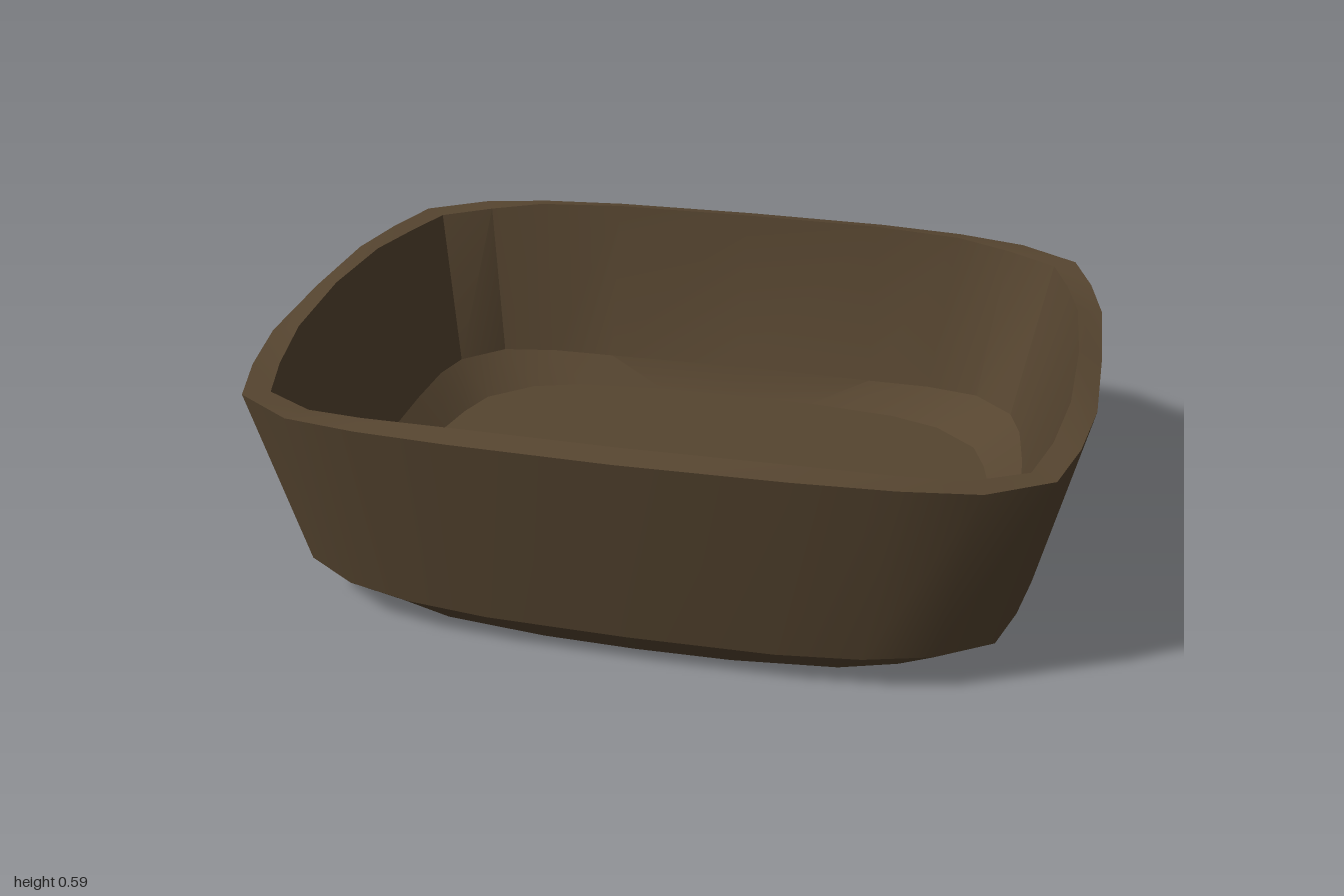
import * as THREE from 'three';
import { toCreasedNormals } from 'three/addons/utils/BufferGeometryUtils.js';

// One quarter of each outline, from the middle of the front to the middle of the left side: [x, z]
const squarish = [[0, 0.76], [0.38, 0.752], [0.6, 0.735], [0.775, 0.702], [0.92, 0.612], [0.965, 0.46], [0.995, 0.28], [1, 0]];
const rimInner = [[0, 0.706], [0.37, 0.7], [0.6, 0.685], [0.74, 0.65], [0.865, 0.578], [0.905, 0.44], [0.935, 0.26], [0.945, 0]];
const basinLow = [[0, 0.625], [0.38, 0.617], [0.55, 0.603], [0.69, 0.555], [0.79, 0.455], [0.82, 0.36], [0.836, 0.22], [0.842, 0]];
const floorLine = [[0, 0.578], [0.22, 0.573], [0.46, 0.548], [0.59, 0.505], [0.7, 0.41], [0.735, 0.31], [0.757, 0.2], [0.76, 0]];

// Mirrors a quarter outline into a full ring; corner points take cornerY
function ring(quarter, y, cornerY = y, sx = 1, sz = 1) {
  const lift = [0, 0, 0.3, 0.85, 1, 0.85, 0.3, 0];
  const q = quarter.map(([x, z], i) => [x * sx, y + (cornerY - y) * lift[i], z * sz]);
  const mirror = (list, mx, mz) => list.map(([x, h, z]) => [x * mx, h, z * mz]);
  const rev = [...q].reverse();
  return [
    ...q,
    ...mirror(rev, 1, -1).slice(1),
    ...mirror(q, -1, -1).slice(1),
    ...mirror(rev, -1, 1).slice(1, -1),
  ];
}

// Skins successive rings; a single-point ring closes the surface
function loft(name, rings, material) {
  const pos = [];
  const n = Math.max(...rings.map((r) => r.length));
  const at = (r, i) => r[i % r.length];
  for (let k = 0; k < rings.length - 1; k++) {
    const lo = rings[k], hi = rings[k + 1];
    for (let i = 0; i < n; i++) {
      const a = at(lo, i), b = at(lo, i + 1), c = at(hi, i + 1), d = at(hi, i);
      if (lo.length > 1) pos.push(...a, ...b, ...c);
      if (hi.length > 1) pos.push(...a, ...c, ...d);
    }
  }
  const geo = new THREE.BufferGeometry();
  geo.setAttribute('position', new THREE.Float32BufferAttribute(pos, 3));
  const mesh = new THREE.Mesh(toCreasedNormals(geo, 0.42), material);
  mesh.name = name;
  return mesh;
}

export function createModel() {
  const group = new THREE.Group();
  group.name = 'basin';
  const brown = new THREE.MeshStandardMaterial({ color: 0x564530 });
  brown.name = 'dark brown';

  const base = ring(floorLine, 0.005, 0.005, 1.03, 1.04);
  const foot = ring(squarish, 0.09, 0.11, 0.895, 0.893);
  const rimOut = ring(squarish, 0.585, 0.577);
  const rimIn = ring(rimInner, 0.598, 0.574);
  const low = ring(basinLow, 0.16, 0.18);
  const floor = ring(floorLine, 0.09);

  group.add(
    // Flat underside, bevelled foot and flared outer wall
    loft('outerWall', [[[0, 0.005, 0]], base, foot, rimOut], brown),
    // Lip, sloping slightly outward
    loft('rim', [rimOut, rimIn], brown),
    // Inner wall, bevel and floor
    loft('innerBasin', [rimIn, low, floor, [[0, 0.09, 0]]], brown),
  );
  return group;
}
